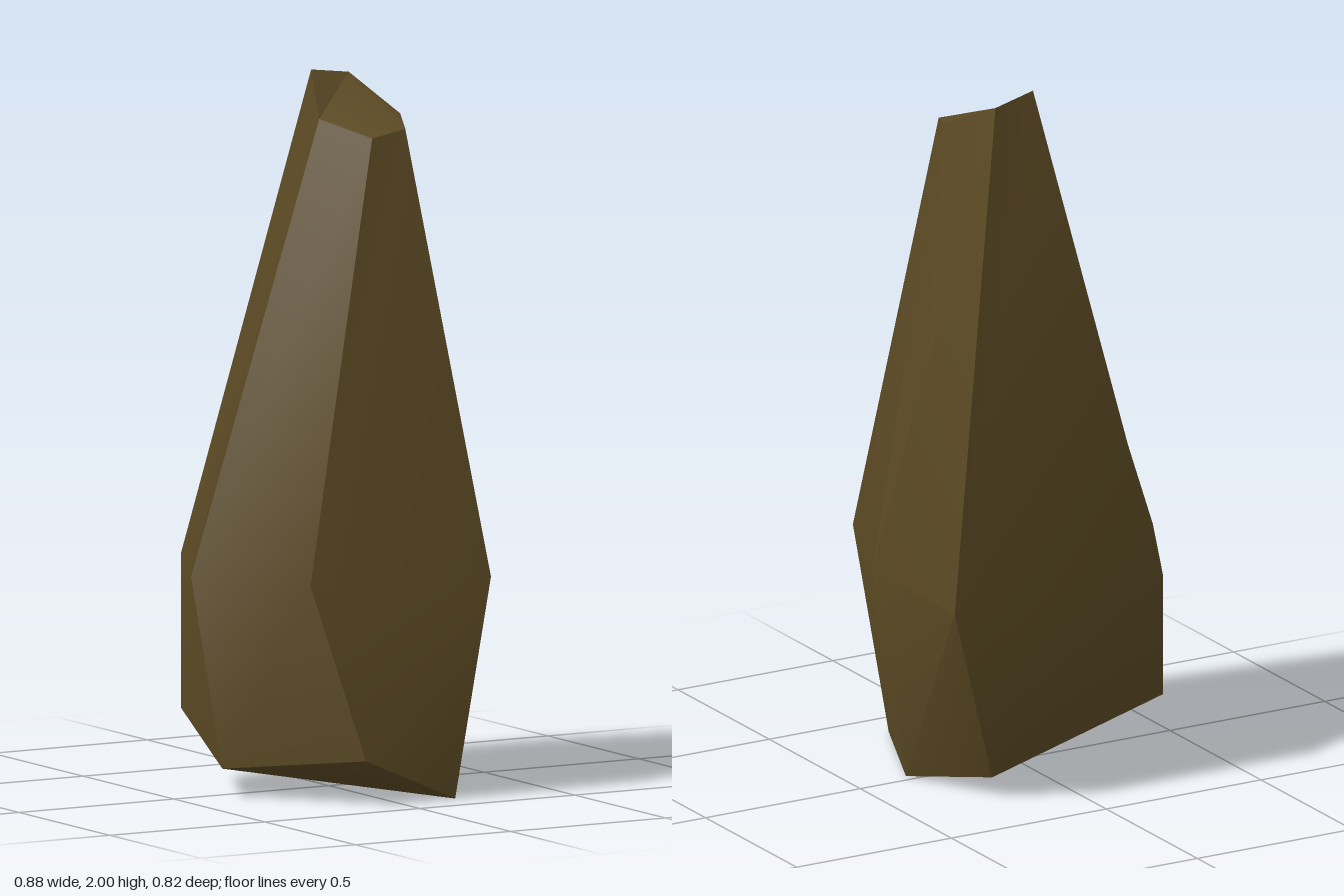
import * as THREE from 'three';
import { toCreasedNormals } from 'three/addons/utils/BufferGeometryUtils.js';

// Three six-sided cross-sections, counter-clockwise from above, starting at -x
const RINGS = [
  // tilted base
  [[-0.365, 0.08, 0.036], [-0.12, 0.13, 0.41], [0.18, 0, 0.388], [0.335, 0, 0.03], [0.224, 0.06, -0.255], [-0.327, 0.21, -0.255]],
  // widest girdle
  [[-0.44, 0.62, -0.008], [-0.248, 0.62, 0.322], [0.282, 0.62, 0.411], [0.438, 0.62, 0.04], [0.438, 0.62, -0.413], [-0.235, 0.62, -0.413]],
  // slanted tip
  [[-0.037, 1.88, 0.01], [0.04, 1.84, 0.17], [0.145, 1.86, 0.173], [0.195, 1.885, 0.06], [0.147, 1.98, -0.142], [0.01, 2, -0.115]],
];
const CAP = [[0, 1, 2], [2, 3, 4], [0, 2, 4], [0, 4, 5]];

function rockGeometry() {
  const n = 6;
  const index = [];
  // side facets between neighbouring rings
  for (let r = 0; r < RINGS.length - 1; r++) {
    for (let i = 0; i < n; i++) {
      const j = (i + 1) % n;
      const a = r * n + i, b = r * n + j;
      index.push(a, b, b + n, a, b + n, a + n);
    }
  }
  // base and tip caps
  const top = (RINGS.length - 1) * n;
  for (const [a, b, c] of CAP) {
    index.push(a, c, b);
    index.push(top + a, top + b, top + c);
  }
  const geometry = new THREE.BufferGeometry();
  geometry.setAttribute('position', new THREE.Float32BufferAttribute(RINGS.flat(2), 3));
  geometry.setIndex(index);
  // soft over shallow bends, sharp along the strong ridges
  return toCreasedNormals(geometry, 0.62);
}

export function createModel() {
  const group = new THREE.Group();
  group.name = 'standingRock';
  const stone = new THREE.MeshStandardMaterial({ color: 0x5c4a24 });
  stone.name = 'brown stone';
  const rock = new THREE.Mesh(rockGeometry(), stone);
  rock.name = 'rock';
  group.add(rock);
  return group;
}
